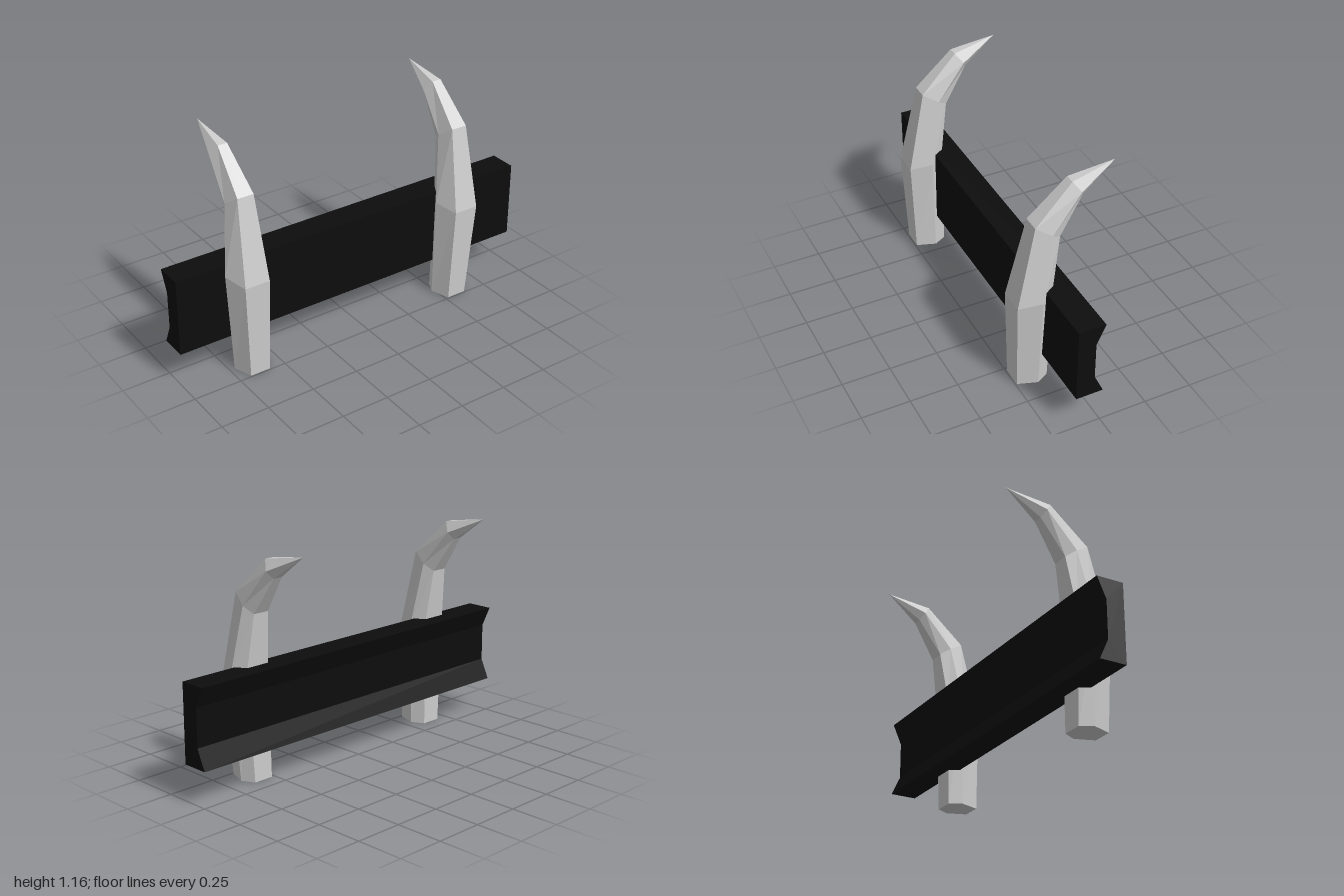
import * as THREE from 'three';

// Horn rings from base upward: [half width at side, half width of front/back face,
// then z, y of the front, side and back corners]
const RINGS = [
  [0.087, 0.053, 0.243, 0, 0.145, 0, 0.08, 0],
  [0.109, 0.066, 0.26, 0.51, 0.15, 0.535, 0.08, 0.56],
  [0.068, 0.043, 0.167, 0.935, 0.09, 0.885, 0.04, 0.85],
  [0.054, 0.025, -0.025, 1.12, -0.06, 1.07, -0.08, 1.035],
];
const TIP = [0, 1.158, -0.255];

// Six corners of one ring, from the +x side round the front to the back
function ringCorners([side, face, fz, fy, sz, sy, bz, by], dx) {
  return [
    [side + dx, sy, sz], [face + dx, fy, fz], [-face + dx, fy, fz],
    [-side + dx, sy, sz], [-face + dx, by, bz], [face + dx, by, bz],
  ];
}

// Curved hexagonal horn; the base and the widest ring can be nudged sideways
function hornGeometry(shifts) {
  const rings = RINGS.map((r, k) => ringCorners(r, shifts[k] || 0));
  const pos = [];
  const tri = (...corners) => corners.forEach((c) => pos.push(...c));
  const base = [shifts[0], 0, 0.16];
  for (let i = 0; i < 6; i++) {
    const j = (i + 1) % 6;
    tri(base, rings[0][i], rings[0][j]);
    for (let k = 0; k < rings.length - 1; k++) {
      const a = rings[k], b = rings[k + 1];
      tri(a[j], a[i], b[i]);
      tri(a[j], b[i], b[j]);
    }
    const top = rings[rings.length - 1];
    tri(top[j], top[i], TIP);
  }
  const g = new THREE.BufferGeometry();
  g.setAttribute('position', new THREE.Float32BufferAttribute(pos, 3));
  g.computeVertexNormals();
  return g;
}

export function createModel() {
  const group = new THREE.Group();
  const grey = new THREE.MeshStandardMaterial({ color: 0xcccccc, flatShading: true });
  const black = new THREE.MeshStandardMaterial({ color: 0x0d0d0d, flatShading: true });

  // Crossbar with a channel along its back
  const profile = [[0.13, 0.183], [-0.01, 0.183], [0.037, 0.285], [0.037, 0.48], [-0.01, 0.585], [0.13, 0.585]];
  const shape = new THREE.Shape(profile.map(([z, y]) => new THREE.Vector2(-z, y)));
  const barGeometry = new THREE.ExtrudeGeometry(shape, { depth: 2, bevelEnabled: false });
  barGeometry.translate(0, 0, -1).rotateY(Math.PI / 2);
  const bar = new THREE.Mesh(barGeometry, black);
  bar.name = 'crossbar';
  group.add(bar);

  // Two horns in front of the bar, curving back over it
  const horns = [
    ['rightHorn', -0.637, [0.002, -0.007]],
    ['leftHorn', 0.6, [-0.03, -0.006]],
  ];
  for (const [name, x, shifts] of horns) {
    const horn = new THREE.Mesh(hornGeometry(shifts), grey);
    horn.name = name;
    horn.position.x = x;
    group.add(horn);
  }
  return group;
}
